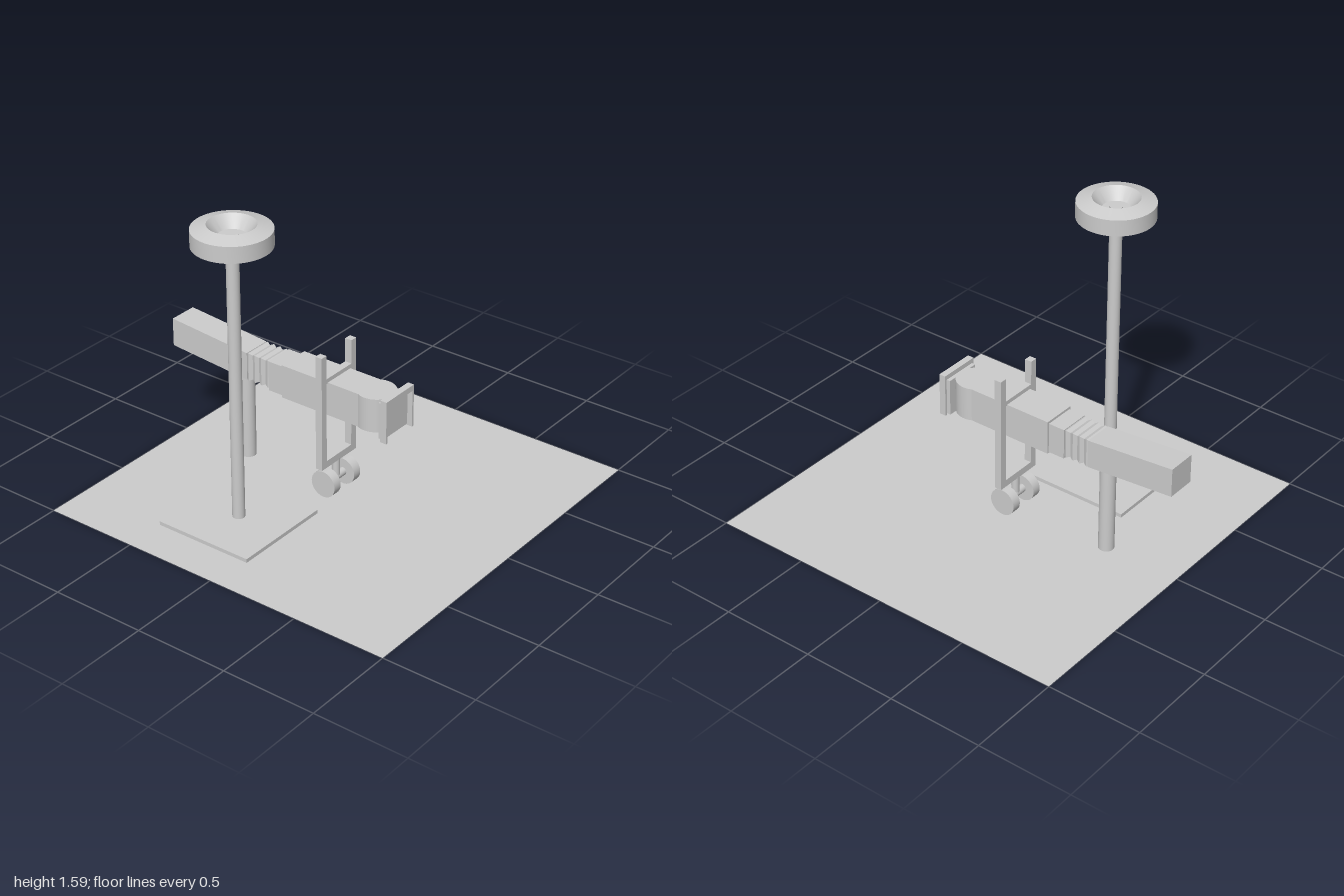
import * as THREE from 'three';
import { toCreasedNormals } from 'three/addons/utils/BufferGeometryUtils.js';

const grey = new THREE.MeshStandardMaterial({ color: 0xcccccc });
const flat = new THREE.MeshStandardMaterial({ color: 0xcccccc, flatShading: true });
const thin = new THREE.MeshStandardMaterial({ color: 0xcccccc, side: THREE.DoubleSide });
const V = (x, y) => new THREE.Vector2(x, y);

export function createModel() {
  const model = new THREE.Group();

  function add(parent, name, geometry, material = grey) {
    const mesh = new THREE.Mesh(geometry, material);
    mesh.name = name;
    parent.add(mesh);
    return mesh;
  }
  // Box and upright cylinder given by their limits
  function box(parent, name, x0, x1, y0, y1, z0, z1) {
    const g = new THREE.BoxGeometry(x1 - x0, y1 - y0, z1 - z0);
    return add(parent, name, g.translate((x0 + x1) / 2, (y0 + y1) / 2, (z0 + z1) / 2));
  }
  function post(parent, name, r, x, z, y0, y1) {
    const g = new THREE.CylinderGeometry(r, r, y1 - y0, 32);
    return add(parent, name, g.translate(x, (y0 + y1) / 2, z));
  }
  function group(name) {
    const g = new THREE.Group();
    g.name = name;
    model.add(g);
    return g;
  }

  // Ground sheet
  add(model, 'ground', new THREE.PlaneGeometry(2, 2).rotateX(-Math.PI / 2), thin);

  // Light mast: base slab, pole and ring-shaped head with dished faces
  const mast = group('lightMast');
  const mx = -0.51, mz = -0.23;
  box(mast, 'mastBase', mx - 0.272, mx + 0.272, 0, 0.02, mz - 0.272, mz + 0.272);
  post(mast, 'mastPole', 0.032, mx, mz, 0.02, 1.54);
  const ring = [
    V(0, 1.51), V(0.07, 1.51), V(0.118, 1.46), V(0.195, 1.483),
    V(0.195, 1.567), V(0.118, 1.59), V(0.07, 1.53), V(0, 1.53),
  ];
  const head = toCreasedNormals(new THREE.LatheGeometry(ring, 48), 0.25);
  add(mast, 'mastHead', head.translate(mx, 0, mz));

  // Sloping rear tunnel, side outline extruded across its width
  const bridge = group('bridge');
  const slope = new THREE.Shape([V(0.52, 0.485), V(1, 0.523), V(1, 0.675), V(0.52, 0.635)]);
  const rear = new THREE.ExtrudeGeometry(slope, { depth: 0.155, bevelEnabled: false });
  add(bridge, 'rearTunnel', rear.rotateY(Math.PI / 2).translate(-0.0775, 0, 0));

  // Square bellows: a four-sided lathe with a zigzag profile
  const folds = 4, length = 0.16, zig = [];
  for (let i = 0; i <= folds * 2; i++) {
    zig.push(V((i % 2 ? 0.077 : 0.068) * Math.SQRT2, (i / (folds * 2)) * length));
  }
  const bellows = new THREE.LatheGeometry(zig, 4, Math.PI / 4);
  add(bridge, 'bellows', bellows.rotateX(Math.PI / 2).translate(0, 0.56, -0.53), flat);
  box(bridge, 'innerTunnel', -0.08, 0.08, 0.475, 0.637, -0.38, -0.28);

  // Main tunnel ending in a rounded cabin, plan outline extruded upwards
  const plan = new THREE.Shape();
  plan.moveTo(-0.09, 0.29);
  plan.lineTo(-0.09, -0.176);
  plan.absarc(0, -0.22, 0.1, Math.PI - 0.454, Math.PI + 1.01, false);
  plan.lineTo(0.053, -0.305);
  plan.absarc(0, -0.22, 0.1, -1.01, 0.454, false);
  plan.lineTo(0.09, 0.29);
  const cabin = new THREE.ExtrudeGeometry(plan, { depth: 0.18, bevelEnabled: false, curveSegments: 16 });
  add(bridge, 'mainTunnelAndCabin', toCreasedNormals(cabin.rotateX(-Math.PI / 2).translate(0, 0.47, 0), 0.3));

  // Docking end: plate with a hood around its sides and top
  box(bridge, 'dockingPlate', -0.098, 0.098, 0.455, 0.65, 0.305, 0.332);
  for (const s of [-1, 1]) {
    box(bridge, 'hoodSide', s * 0.105 - 0.006, s * 0.105 + 0.006, 0.447, 0.645, 0.325, 0.36);
  }
  box(bridge, 'hoodTop', -0.111, 0.111, 0.645, 0.675, 0.325, 0.36);

  // Rear support column
  post(bridge, 'supportColumn', 0.04, 0, -0.585, 0, 0.51);

  // Lifting frame on a pair of wheels
  const lift = group('liftFrame');
  const lz = -0.025;
  box(lift, 'crossbar', -0.137, 0.137, 0.175, 0.213, lz - 0.019, lz + 0.019);
  post(lift, 'wheelStem', 0.02, 0, lz, 0.075, 0.18);
  const axle = new THREE.CylinderGeometry(0.022, 0.022, 0.14, 24).rotateZ(Math.PI / 2);
  add(lift, 'axle', axle).position.set(0, 0.075, lz);
  for (const s of [-1, 1]) {
    box(lift, 'liftPost', s * 0.118 - 0.019, s * 0.118 + 0.019, 0.213, 0.8, lz - 0.019, lz + 0.019);
    const wheel = new THREE.CylinderGeometry(0.071, 0.071, 0.05, 40).rotateZ(Math.PI / 2);
    add(lift, 'wheel', wheel).position.set(s * 0.08, 0.075, lz);
  }
  // Bar tying the posts to the tunnel sides
  box(lift, 'tunnelBracket', -0.1, 0.1, 0.645, 0.672, lz - 0.019, lz + 0.019);

  return model;
}
